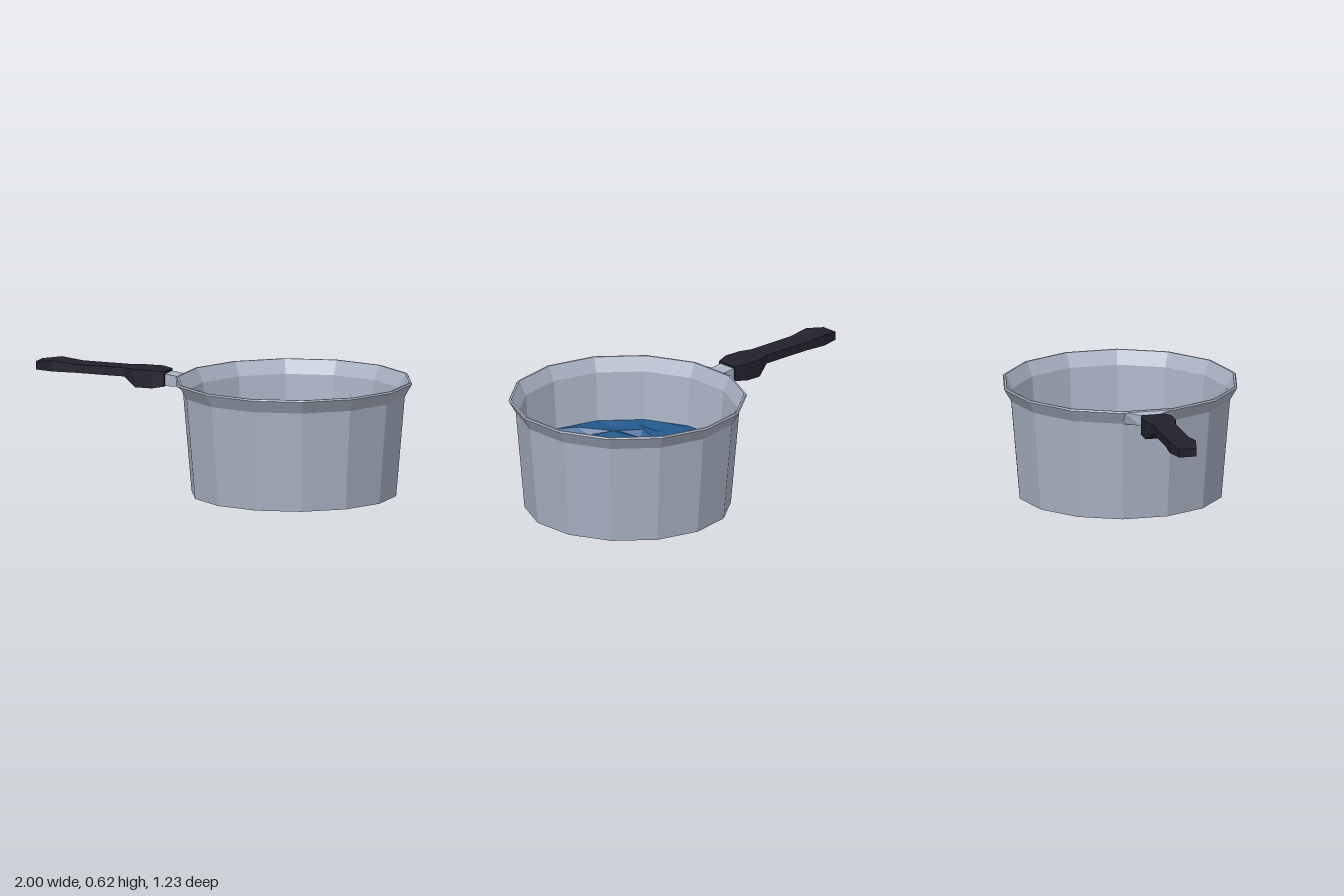
import * as THREE from 'three';

const SIDES = 14;
const POT_X = 0.402;

function material(name, color) {
  const m = new THREE.MeshStandardMaterial({ color, flatShading: true });
  m.name = name;
  return m;
}

// Lofts a box-like bar along x. Section: [xTop, xBottom, halfWidth, yBottom, yTop]
function loft(sections) {
  const rings = sections.map(([xt, xb, w, yb, yt]) => [
    [xb, yb, w], [xb, yb, -w], [xt, yt, -w], [xt, yt, w],
  ]);
  const pos = [];
  const quad = (a, b, c, d) => pos.push(...a, ...b, ...c, ...a, ...c, ...d);
  for (let s = 0; s < rings.length - 1; s++) {
    const a = rings[s], b = rings[s + 1];
    for (let i = 0; i < 4; i++) {
      const j = (i + 1) % 4;
      quad(a[i], a[j], b[j], b[i]);
    }
  }
  const first = rings[0], last = rings[rings.length - 1];
  quad(first[3], first[2], first[1], first[0]);
  quad(...last);
  const g = new THREE.BufferGeometry();
  g.setAttribute('position', new THREE.Float32BufferAttribute(pos, 3));
  g.computeVertexNormals();
  return g;
}

// Repeatable value in -1..1 for a ring, segment and channel
function noise(a, b, c) {
  const v = Math.sin(a * 127.1 + b * 311.7 + c * 74.7) * 43758.5453;
  return (v - Math.floor(v)) * 2 - 1;
}

// Choppy faceted disc: calm outer band, broken facets inside
function waterGeometry() {
  const segs = SIDES * 2;
  const radii = [0.541, 0.45, 0.385, 0.32, 0.25, 0.18, 0.11, 0.05, 0];
  const g = new THREE.LatheGeometry(radii.map(r => new THREE.Vector2(r, 0.265)), segs);
  const p = g.attributes.position;
  const n = radii.length;
  for (let i = 0; i <= segs; i++) {
    const k = i % segs;
    for (let j = 0; j < n; j++) {
      let r = radii[j], angle = (k / segs) * Math.PI * 2, y = 0.265;
      if (j === 0) {
        if (k % 2) r *= Math.cos(Math.PI / SIDES);
      } else if (j < n - 1) {
        r += noise(j, k, 1) * 0.03;
        angle += noise(j, k, 2) * 0.11;
        y += noise(j, k, 3) * 0.022;
      }
      p.setXYZ(i * n + j, Math.sin(angle) * r, y, Math.cos(angle) * r);
    }
  }
  g.computeVertexNormals();
  return g;
}

export function createModel() {
  const metal = material('metal', 0xa9b3c4);
  const grip = material('dark grip', 0x22212d);
  const blue = material('water blue', 0x24598f);
  blue.side = THREE.DoubleSide;

  const group = new THREE.Group();
  group.name = 'saucepan';
  const add = (name, geometry, mat, x = 0) => {
    const mesh = new THREE.Mesh(geometry, mat);
    mesh.name = name;
    mesh.position.x = x;
    group.add(mesh);
  };

  // Pot: base, outer wall, flared rim, inner wall and floor
  const profile = [
    [0, 0], [0.53, 0], [0.575, 0.52], [0.613, 0.585], [0.608, 0.593],
    [0.598, 0.593], [0.563, 0.52], [0.522, 0.03], [0, 0.03],
  ].map(([r, y]) => new THREE.Vector2(r, y));
  add('pot', new THREE.LatheGeometry(profile, SIDES), metal, POT_X);

  add('water', waterGeometry(), blue, POT_X);

  // Neck flaring out to meet one face of the pot
  add('handleNeck', loft([
    [-0.3, -0.3, 0.052, 0.522, 0.586],
    [-0.225, -0.225, 0.05, 0.522, 0.577],
    [-0.192, -0.158, 0.13, 0.52, 0.588],
  ]), metal);

  // Handle with a deep collar and a swollen tip
  add('handle', loft([
    [-1.0, -1.0, 0.045, 0.56, 0.603],
    [-0.9, -0.9, 0.07, 0.56, 0.616],
    [-0.78, -0.78, 0.06, 0.56, 0.604],
    [-0.51, -0.51, 0.058, 0.558, 0.603],
    [-0.44, -0.44, 0.08, 0.51, 0.603],
    [-0.35, -0.35, 0.08, 0.51, 0.603],
    [-0.288, -0.288, 0.06, 0.52, 0.596],
  ]), grip);

  return group;
}
